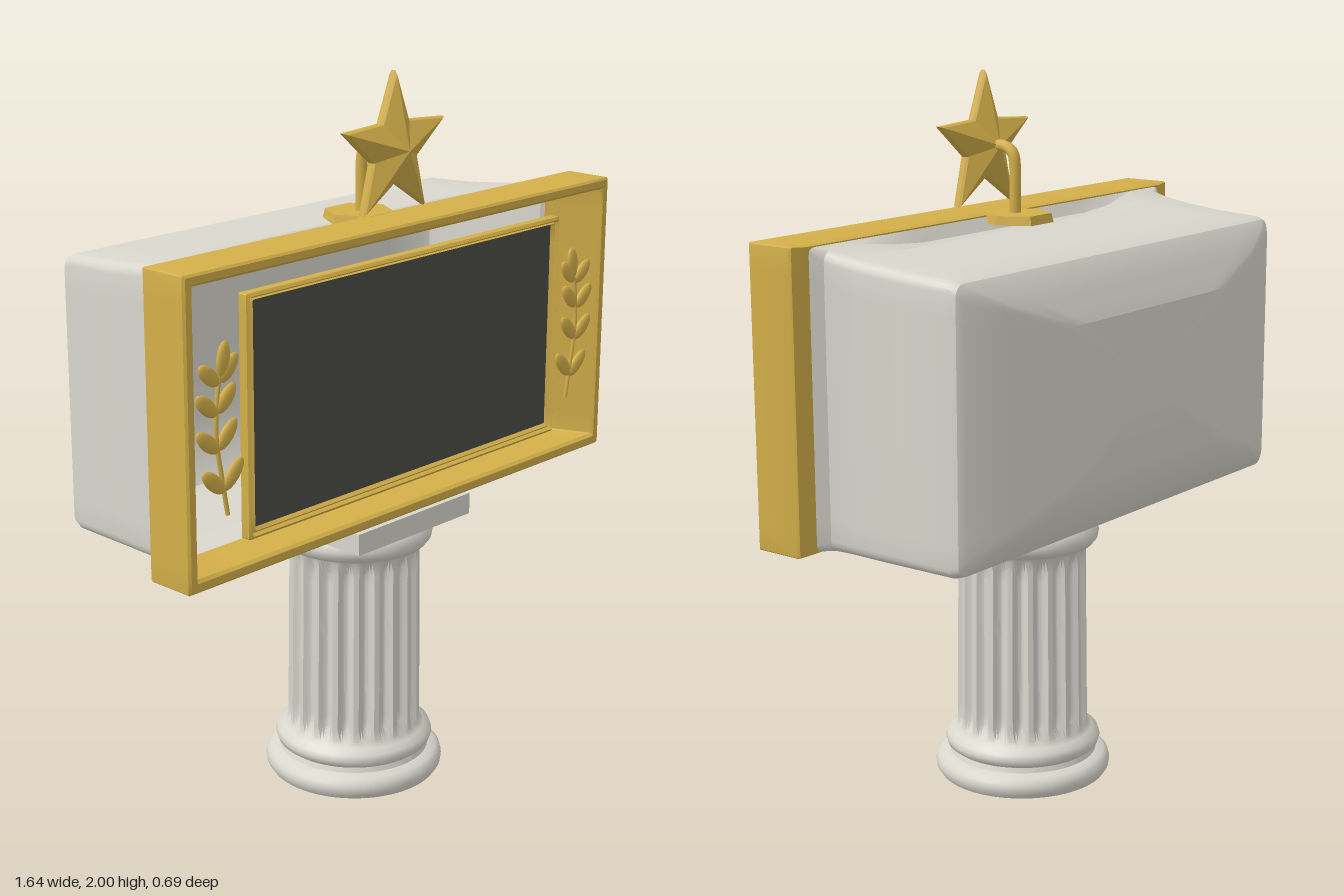
import * as THREE from 'three';
import { toCreasedNormals } from 'three/addons/utils/BufferGeometryUtils.js';

const material = (name, color) => {
  const m = new THREE.MeshStandardMaterial({ color, side: THREE.DoubleSide });
  m.name = name;
  return m;
};

// Skin a list of closed rings, each an array of [x, y, z]
function loft(rings, crease = 0.5) {
  const n = rings[0].length, index = [];
  for (let i = 0; i < rings.length - 1; i++) {
    for (let j = 0; j < n; j++) {
      const k = (j + 1) % n;
      const a = i * n + j, b = i * n + k, c = b + n, d = a + n;
      index.push(a, b, c, a, c, d);
    }
  }
  const g = new THREE.BufferGeometry();
  g.setAttribute('position', new THREE.Float32BufferAttribute(rings.flat(2), 3));
  g.setIndex(index);
  return toCreasedNormals(g, crease);
}

// Rounded rectangle ring facing +z; dip lowers the middle of the top edge
function rectRing([hx, y0, y1, z, r = 0.004, dip = 0]) {
  const corners = [[hx - r, y1 - r], [r - hx, y1 - r], [r - hx, y0 + r], [hx - r, y0 + r]];
  const arcs = corners.map(([cx, cy], q) => Array.from({ length: 5 }, (_, t) => {
    const a = (q + t / 4) * Math.PI / 2;
    return [cx + r * Math.cos(a), cy + r * Math.sin(a), z];
  }));
  const points = [];
  arcs.forEach((arc, q) => {
    const from = arc[4], to = arcs[(q + 1) % 4][0];
    points.push(...arc);
    for (let s = 1; s < 12; s++) {
      const x = THREE.MathUtils.lerp(from[0], to[0], s / 12);
      const y = THREE.MathUtils.lerp(from[1], to[1], s / 12);
      const drop = q === 0 ? dip * (1 - THREE.MathUtils.smoothstep(Math.abs(x), 0.38, 0.6)) : 0;
      points.push([x, y - drop, z]);
    }
  });
  return points;
}
const rectLoft = (sections, crease) => loft(sections.map(rectRing), crease);

// Fluted column, open below
function columnGeometry() {
  const profile = [[0.24, 0], [0.25, 0.015], [0.252, 0.03], [0.248, 0.046], [0.235, 0.058], [0.212, 0.064],
    [0.207, 0.078], [0.218, 0.086], [0.223, 0.102], [0.218, 0.118], [0.2, 0.13], [0.19, 0.14]];
  for (let i = 0; i <= 16; i++) profile.push([0.188 - 0.006 * i / 16, 0.145 + 0.53 * i / 16]);
  profile.push([0.186, 0.685], [0.203, 0.69], [0.215, 0.705], [0.218, 0.722], [0.21, 0.742], [0.195, 0.758]);
  const flutes = 20;
  const g = new THREE.LatheGeometry(profile.map(p => new THREE.Vector2(...p)), flutes * 8);
  const p = g.attributes.position;
  for (let i = 0; i < p.count; i++) {
    const x = p.getX(i), y = p.getY(i), z = p.getZ(i);
    const ends = THREE.MathUtils.smoothstep(y, 0.14, 0.18) * (1 - THREE.MathUtils.smoothstep(y, 0.64, 0.68));
    const wave = Math.max(0, 0.3 + Math.cos(Math.atan2(x, z) * flutes)) / 1.3;
    const k = 1 - 0.11 * ends * Math.sqrt(wave);
    p.setXYZ(i, x * k, y, z * k);
  }
  return toCreasedNormals(g, 0.7);
}

// Five-pointed faceted star with blunt edges
function starGeometry() {
  const outline = (scale, z) => Array.from({ length: 10 }, (_, i) => {
    const a = Math.PI / 2 + i * Math.PI / 5, r = (i % 2 ? 0.088 : 0.203) * scale;
    return [r * Math.cos(a), r * Math.sin(a), z];
  });
  return loft([outline(0, -0.06), outline(0.95, -0.013), outline(1, -0.006),
    outline(1, 0.006), outline(0.95, 0.013), outline(0, 0.06)], 0.3);
}

export function createModel() {
  const model = new THREE.Group();
  model.name = 'displaySign';
  const gold = material('gold', 0xd4b04a);
  const stone = material('paleStone', 0xd9d7cd);
  const dark = material('darkScreen', 0x4b4b47);
  const add = (name, geometry, mat, x = 0, y = 0, z = 0, parent = model) => {
    const mesh = new THREE.Mesh(geometry, mat);
    mesh.name = name;
    mesh.position.set(x, y, z);
    parent.add(mesh);
    return mesh;
  };

  // Pedestal
  add('column', columnGeometry(), stone, 0, 0, 0.095);
  add('abacus', new THREE.BoxGeometry(0.45, 0.06, 0.45), stone, 0, 0.787, 0.097);

  // Hollow housing, from the back panel to the flare behind the frame
  add('housing', rectLoft([
    [0.002, 1.199, 1.201, -0.345, 0.001],
    [0.35, 0.99, 1.41, -0.345, 0.01],
    [0.58, 0.895, 1.49, -0.305, 0.02],
    [0.69, 0.838, 1.54, -0.272, 0.03],
    [0.708, 0.822, 1.555, -0.258, 0.03],
    [0.714, 0.815, 1.563, -0.235, 0.03],
    [0.716, 0.815, 1.57, -0.1, 0.03],
    [0.72, 0.816, 1.58, 0.0, 0.03],
    [0.724, 0.818, 1.587, 0.06, 0.03],
    [0.728, 0.82, 1.594, 0.1, 0.03, 0.025],
    [0.737, 0.822, 1.603, 0.14, 0.03, 0.025],
    [0.765, 0.825, 1.612, 0.165, 0.02],
  ], 0.45), stone);

  // Deep outer frame with splayed inner sides
  add('outerFrame', rectLoft([
    [0.72, 0.845, 1.592, 0.17],
    [0.775, 0.825, 1.615, 0.163],
    [0.818, 0.822, 1.618, 0.172],
    [0.822, 0.82, 1.62, 0.18],
    [0.822, 0.82, 1.62, 0.312],
    [0.816, 0.826, 1.614, 0.318],
    [0.797, 0.846, 1.596, 0.318],
    [0.79, 0.853, 1.588, 0.308],
    [0.735, 0.855, 1.586, 0.19],
    [0.72, 0.845, 1.592, 0.17],
  ]), gold);

  // Screen with a stepped bezel
  add('screenBezel', rectLoft([
    [0.582, 0.932, 1.518, 0.28],
    [0.61, 0.905, 1.537, 0.28],
    [0.61, 0.905, 1.537, 0.306],
    [0.602, 0.913, 1.529, 0.312],
    [0.596, 0.919, 1.523, 0.302],
    [0.59, 0.925, 1.52, 0.308],
    [0.582, 0.932, 1.518, 0.298],
    [0.582, 0.932, 1.518, 0.28],
  ]), gold);
  add('screen', new THREE.BoxGeometry(1.17, 0.592, 0.008), dark, 0, 1.225, 0.294);

  // Laurel sprigs, mirrored on either side of the screen
  const leaf = new THREE.SphereGeometry(1, 12, 8);
  for (const side of [1, -1]) {
    const sprig = new THREE.Group();
    sprig.name = side > 0 ? 'leftLaurel' : 'rightLaurel';
    const stem = new THREE.CatmullRomCurve3([[0.676, 0.99], [0.69, 1.07], [0.71, 1.2], [0.705, 1.3], [0.69, 1.38]]
      .map(([x, y]) => new THREE.Vector3(side * x, y, 0.3)));
    add('stem', new THREE.TubeGeometry(stem, 20, 0.006, 6), gold, 0, 0, 0, sprig);
    const addLeaf = (x, y, tilt, length) => {
      const m = add('leaf', leaf, gold, side * x, y, 0.302, sprig);
      m.scale.set(0.021, length, 0.011);
      m.rotation.z = -side * tilt;
    };
    [0.23, 0.44, 0.65, 0.86].forEach((t, i) => {
      const p = stem.getPoint(t), x = side * p.x;
      const size = 0.048 - i * 0.002;
      addLeaf(x + 0.034, p.y + 0.022, 0.85, size);
      addLeaf(x - 0.032, p.y + 0.03, -0.72, size);
    });
    addLeaf(0.685, 1.39, -0.15, 0.046);
    model.add(sprig);
  }

  // Star on a bent rod rising from a hexagonal foot
  const foot = add('starFoot', new THREE.CylinderGeometry(0.094, 0.1, 0.025, 6).toNonIndexed(), gold, 0, 1.608, 0.108);
  foot.geometry.computeVertexNormals();
  foot.rotation.y = Math.PI / 6;
  const rod = new THREE.CatmullRomCurve3([[1.6, 0.115], [1.68, 0.115], [1.74, 0.115], [1.78, 0.122], [1.797, 0.145], [1.8, 0.2]]
    .map(([y, z]) => new THREE.Vector3(0, y, z)));
  add('starRod', new THREE.TubeGeometry(rod, 24, 0.016, 10), gold);
  add('star', starGeometry(), gold, 0, 1.798, 0.225);

  return model;
}
